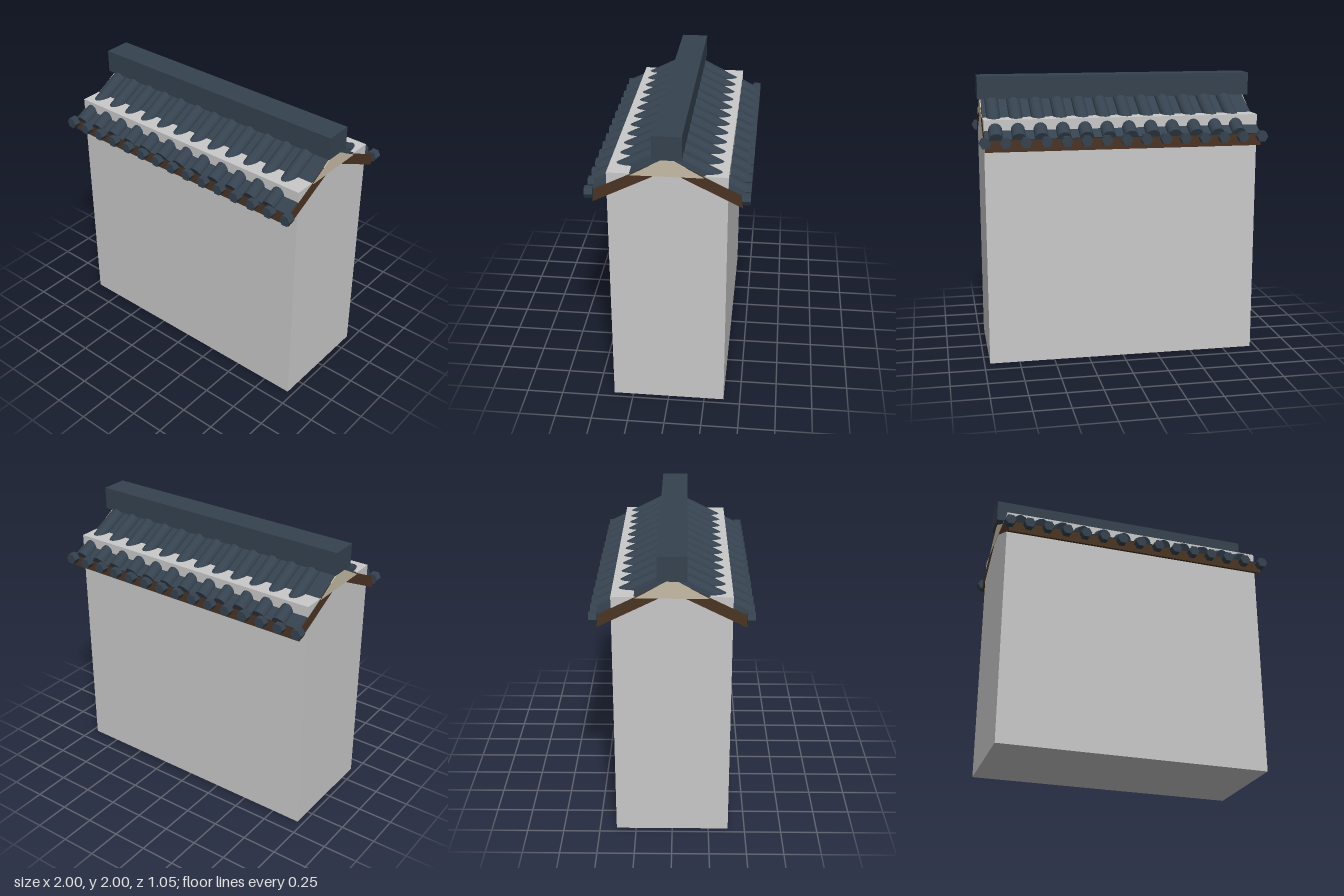
import * as THREE from 'three';

const mat = (name, color) => {
  const m = new THREE.MeshStandardMaterial({ color });
  m.name = name;
  return m;
};

export function createModel() {
  const plaster = mat('greyPlaster', 0xc9c9c9);
  const stone = mat('darkStone', 0x3d423d);
  const tile = mat('slateTile', 0x35424f);
  const wood = mat('brownWood', 0x4a3423);
  const cream = mat('creamGable', 0xc6bba5);

  const model = new THREE.Group();
  model.name = 'tiledWall';
  const add = (parent, name, geometry, material, x = 0, y = 0, z = 0) => {
    const mesh = new THREE.Mesh(geometry, material);
    mesh.name = name;
    mesh.position.set(x, y, z);
    parent.add(mesh);
    return mesh;
  };

  // Extrude a (z, y) section along x, centred
  const section = (points, width) => {
    const shape = new THREE.Shape(points.map(([z, y]) => new THREE.Vector2(z, y)));
    return new THREE.ExtrudeGeometry(shape, { depth: width, bevelEnabled: false })
      .translate(0, 0, -width / 2).rotateY(-Math.PI / 2);
  };

  // Wall with its stone core, and the ridge cap
  add(model, 'wall', new THREE.BoxGeometry(1.92, 1.73, 0.77), plaster, 0, 0.865, 0);
  add(model, 'stoneCore', new THREE.BoxGeometry(1.914, 0.66, 0.764), stone, 0, 0.333, 0);
  add(model, 'ridgeCap', new THREE.BoxGeometry(1.964, 0.16, 0.19), tile, 0, 1.92, 0);

  // Cream gable filling under the ridge
  add(model, 'gable', section([[-0.235, 1.72], [0.235, 1.72], [0.02, 1.84], [-0.02, 1.84]], 1.928), cream);

  // Tile sheet: flat pans with twelve raised half-round rolls
  const pitch = Math.atan(0.5);
  const profile = new THREE.Shape();
  profile.moveTo(-0.957, -0.008);
  profile.lineTo(0.957, -0.008);
  profile.lineTo(0.957, 0);
  for (let i = 11; i >= 0; i--) {
    const cx = -0.883 + i * 0.1532;
    for (let k = 0; k <= 8; k++) {
      const a = (k / 8) * Math.PI;
      profile.lineTo(cx + Math.cos(a) * 0.048, Math.sin(a) * 0.046);
    }
  }
  profile.lineTo(-0.957, 0);
  const tiles = new THREE.ExtrudeGeometry(profile, { depth: 0.48 / Math.cos(pitch), bevelEnabled: false })
    .rotateX(pitch).translate(0, 1.85, 0);

  // Sloping board below the tiles
  const board = section([[0, 1.762], [0.477, 1.5235], [0.477, 1.606], [0, 1.8445]], 1.924);

  // Six-sided eave end, corners pointing sideways
  const eaveEnd = new THREE.CylinderGeometry(0.04, 0.04, 0.055, 6)
    .rotateY(Math.PI / 6).rotateX(Math.PI / 2).toNonIndexed();
  eaveEnd.computeVertexNormals();

  // The back slope is the front one turned half round
  for (const [name, turn] of [['frontRoof', 0], ['backRoof', Math.PI]]) {
    const roof = new THREE.Group();
    roof.name = name;
    roof.rotation.y = turn;
    add(roof, 'roofTiles', tiles, tile);
    add(roof, 'eaveBoard', board, wood);
    for (let i = 0; i < 15; i++) {
      add(roof, 'eaveEndTile', eaveEnd, tile, -0.96 + i * (1.92 / 14), 1.59, 0.4985);
    }
    model.add(roof);
  }
  return model;
}
